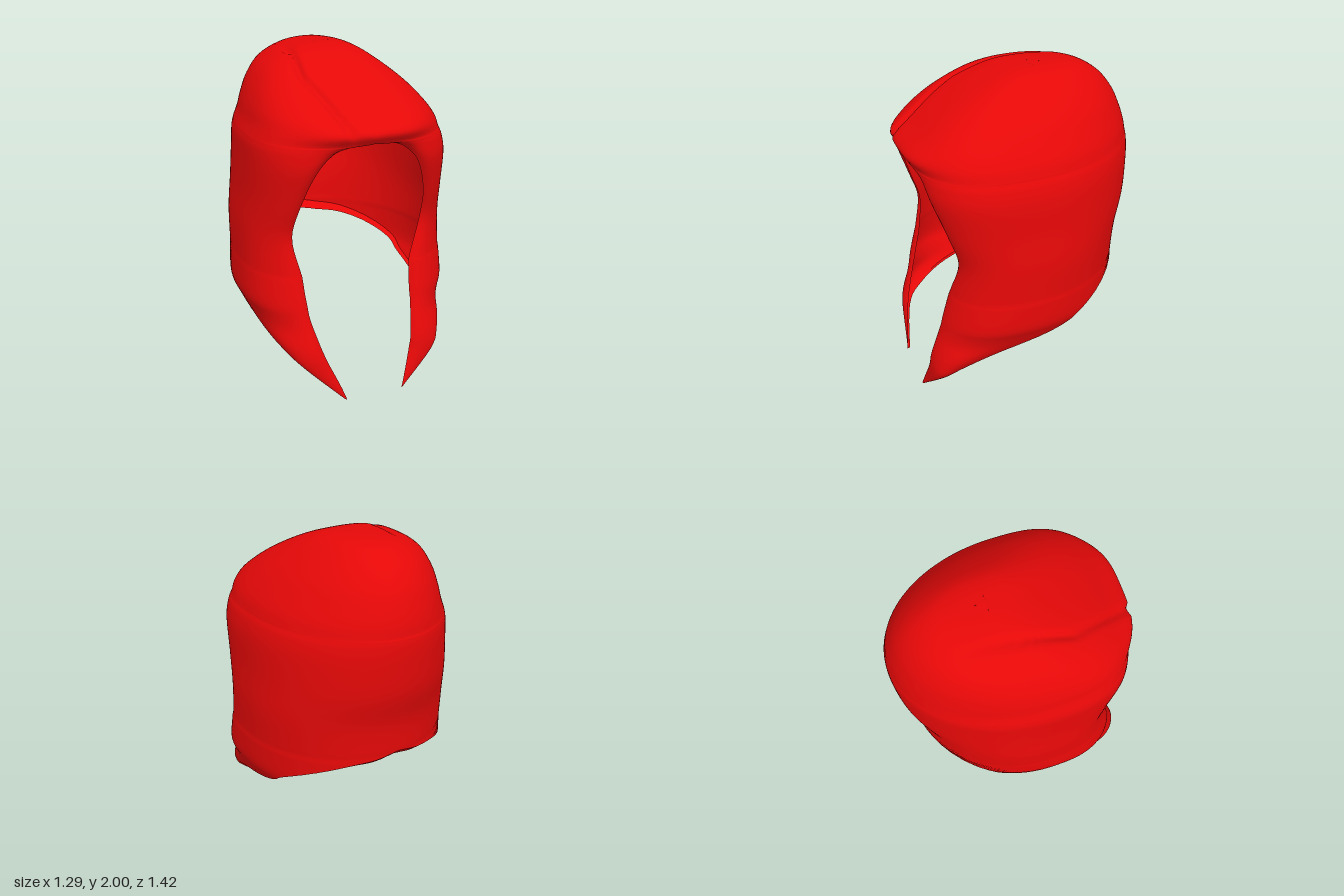
import * as THREE from 'three';
import { mergeGeometries, mergeVertices } from 'three/addons/utils/BufferGeometryUtils.js';

// Horizontal sections, tips to crown:
// [height, face opening half-width, left width, right width, front z, back z, hem z]
const SECTIONS = [
  [0.00, 0.20, 0.21, 0.17, 0.70, -0.63, 0.68],
  [0.20, 0.26, 0.43, 0.38, 0.69, -0.63, 0.61],
  [0.30, 0.28, 0.50, 0.48, 0.685, -0.63, 0.50],
  [0.40, 0.29, 0.555, 0.56, 0.66, -0.63, 0.30],
  [0.52, 0.30, 0.61, 0.62, 0.625, -0.63, -0.10],
  [0.60, 0.30, 0.64, 0.65, 0.605, -0.63, -0.24],
  [0.74, 0.31, 0.64, 0.645, 0.57, -0.63, -0.54],
  [0.80, 0.325, 0.635, 0.64, 0.555, -0.63, -0.63],
  [1.00, 0.39, 0.635, 0.635, 0.525, -0.645, -0.645],
  [1.20, 0.38, 0.62, 0.615, 0.585, -0.695, -0.695],
  [1.40, 0.31, 0.61, 0.605, 0.65, -0.71, -0.71],
  [1.50, 0.22, 0.59, 0.60, 0.665, -0.71, -0.71],
  [1.545, 0.12, 0.57, 0.59, 0.665, -0.705, -0.705],
  [1.56, 0.00, 0.565, 0.585, 0.66, -0.70, -0.70],
  [1.62, 0.00, 0.54, 0.56, 0.65, -0.69, -0.69],
  [1.70, 0.00, 0.485, 0.535, 0.595, -0.665, -0.665],
  [1.80, 0.00, 0.40, 0.485, 0.46, -0.62, -0.62],
  [1.90, 0.00, 0.285, 0.40, 0.275, -0.54, -0.54],
  [1.97, 0.00, 0.18, 0.26, 0.10, -0.43, -0.43],
  [1.995, 0.00, 0.09, 0.11, -0.03, -0.31, -0.31],
  [2.00, 0.00, 0.002, 0.002, -0.16, -0.17, -0.17],
];
const STEPS = 5, COLS = 80, BLUNT = 2 / 2.9;
const { clamp } = THREE.MathUtils;

// Smoothly interpolated sections
function makeRows() {
  const rows = [], last = SECTIONS.length - 1;
  const at = (i) => SECTIONS[clamp(i, 0, last)];
  for (let k = 0; k <= last * STEPS; k++) {
    const i = Math.floor(k / STEPS), t = (k % STEPS) / STEPS;
    const row = at(i).map((b, c) => {
      const a = at(i - 1)[c], d = at(i + 1)[c], e = at(i + 2)[c];
      return b + 0.5 * t * (d - a + t * (2 * a - 5 * b + 4 * d - e + t * (3 * (b - d) + e - a)));
    });
    row[0] = Math.min(row[0], 2);
    row[1] = Math.max(row[1], 0);
    rows.push(row);
  }
  return rows;
}

// Groove of the hair parting, running over the right of the crown
function addParting(p) {
  if (p.y < 1.5 || p.z < -0.35) return p;
  const line = p.z < 0.3 ? -0.25 - 0.1 * p.z : -0.28 + 0.35 * (p.z - 0.3);
  const fade = clamp((p.z + 0.35) / 0.3, 0, 1) * clamp((p.y - 1.5) / 0.08, 0, 1);
  const k = 1 - 0.03 * fade * Math.exp(-(((p.x - line) / 0.022) ** 2));
  return p.set(p.x * k, 1.2 + (p.y - 1.2) * k, p.z * k);
}

// One section on one side, from the face opening round to the hem or nape
function sectionPoints([y, open, wLeft, wRight, zF, zB, hem], side) {
  const w = side > 0 ? wLeft : wRight;
  let xe = open;
  if (side < 0 && open > 0) {
    const h = Math.min(1, y / 1.3);
    xe += 0.08 * Math.sin(h * Math.PI) ** 2 - 0.04 * (1 - h);
  }
  xe = Math.min(xe, w * 0.97);
  // Widest point: the middle of the head, easing over to the hem on the low strands
  const centre = zB + 0.58 * (zF - zB);
  const mid = (centre + hem + Math.hypot(centre - hem, 0.15)) / 2;
  const start = Math.asin((xe / w) ** (1 / BLUNT));
  const end = Math.acos(clamp((hem - mid) / (mid - zB), -1, 0));
  const curl = 0.05 * Math.min(1, (w - xe) / 0.2) * Math.min(1, xe / 0.2);
  const brow = 0.06 * Math.exp(-(((y - 1.62) / 0.06) ** 2));
  const points = [];
  for (let j = 0; j <= COLS; j++) {
    const a = start + (end - start) * j / COLS;
    const s = Math.max(0, Math.sin(a)), c = Math.cos(a);
    let x, z;
    if (c > 0) {
      x = w * s ** BLUNT;
      z = mid + (zF - mid) * (c / Math.cos(start)) ** BLUNT;
      // Edge rolled in around the face, fringe pushed out over the brow
      z += c * (brow * Math.exp(-((x / 0.36) ** 4)) - curl * Math.exp(-(x - xe) / 0.04));
    } else {
      x = w * s;
      z = mid + (mid - zB) * c;
    }
    if (x < 1e-5) x = 0;
    points.push(addParting(new THREE.Vector3(side * x, y, z)));
  }
  return points;
}

// Surface through equal-length rows of points
function skin(rows, flip) {
  const n = rows[0].length, index = [];
  for (let i = 0; i < rows.length - 1; i++) {
    for (let j = 0; j < n - 1; j++) {
      const a = i * n + j, b = a + 1, c = b + n, d = a + n;
      if (flip) index.push(a, c, b, a, d, c);
      else index.push(a, b, c, a, c, d);
    }
  }
  const geometry = new THREE.BufferGeometry().setFromPoints(rows.flat());
  geometry.setIndex(index);
  return geometry;
}

function joined(parts) {
  const geometry = mergeVertices(mergeGeometries(parts), 1e-4);
  geometry.computeVertexNormals();
  return geometry;
}

export function createModel() {
  const group = new THREE.Group();
  group.name = 'bobHair';
  const red = new THREE.MeshStandardMaterial({ color: 0xe60808, side: THREE.DoubleSide });
  red.name = 'hairRed';

  const rows = makeRows(), shells = [], rims = [];
  for (const side of [1, -1]) {
    const grid = rows.map((row) => sectionPoints(row, side));
    shells.push(skin(grid, side < 0));
    // Turned-under rim along the lower hem
    const rim = grid.filter((r) => r[0].y < 0.801).map((r) => {
      const p = r[COLS], k = clamp((p.y - 0.25) / 0.4, 0, 1);
      const drop = k * (0.005 + 0.04 * clamp(-p.z / 0.63, 0, 1) ** 3);
      return [p, new THREE.Vector3(p.x * (1 - 0.08 * k), p.y - drop, p.z * (1 - 0.08 * k))];
    });
    rims.push(skin(rim, side < 0));
  }

  const hair = new THREE.Mesh(joined(shells), red);
  hair.name = 'hairShell';
  const hem = new THREE.Mesh(joined(rims), red);
  hem.name = 'hemRim';
  group.add(hair, hem);
  return group;
}
